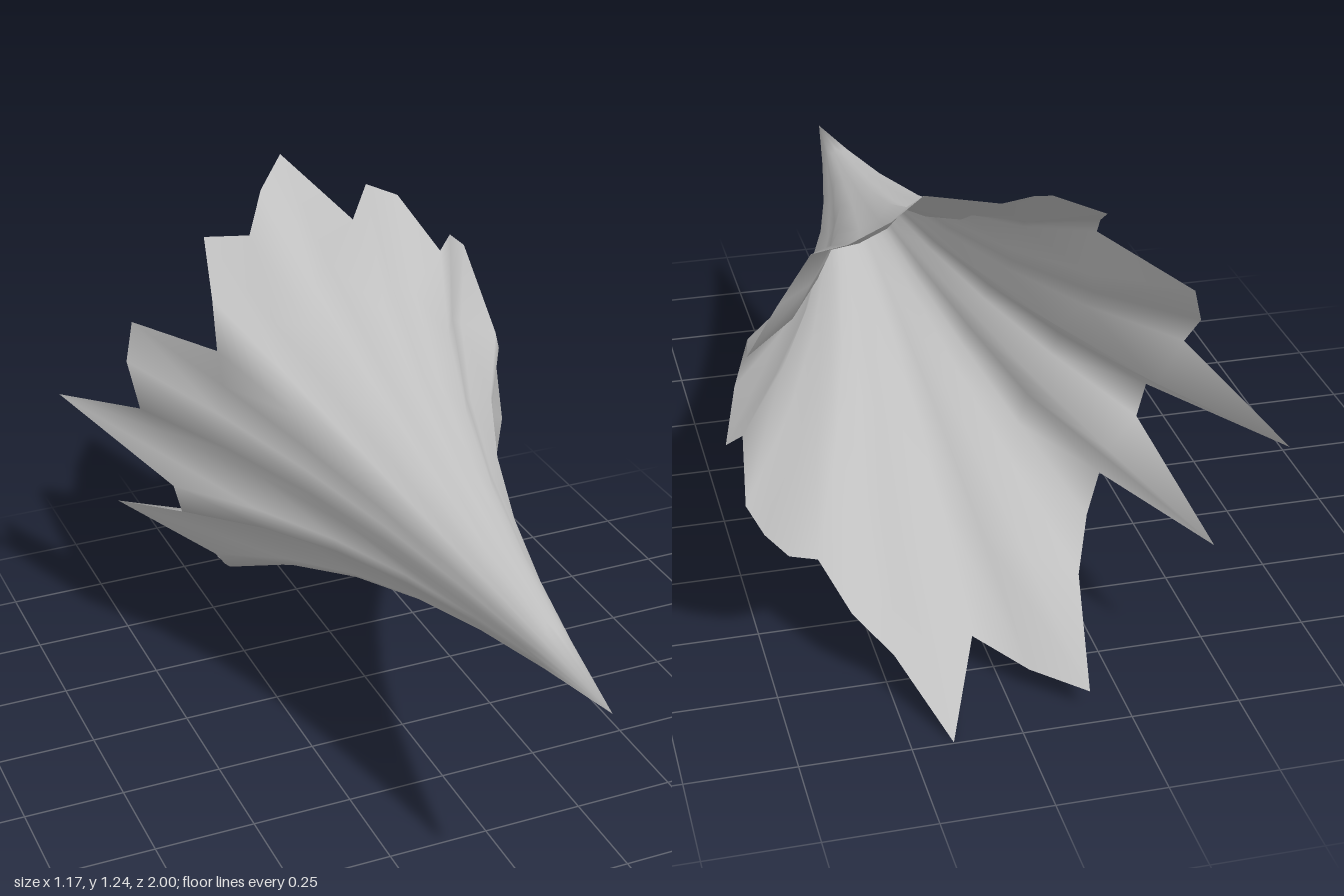
import * as THREE from 'three';

// Rim radius of each rib, clockwise from the top in 10 degree steps
const RIM = [
  0.61, 0.52, 0.572, 0.571, 0.514, 0.566, 0.589, 0.489, 0.509,
  0.538, 0.483, 0.527, 0.526, 0.522, 0.506, 0.542, 0.569, 0.638,
  0.552, 0.589, 0.622, 0.534, 0.497, 0.478, 0.596, 0.479, 0.478,
  0.63, 0.518, 0.546, 0.557, 0.462, 0.5, 0.556, 0.531, 0.573,
];
const RINGS = 6;
const APEX = new THREE.Vector3(0.045, 0.635, 1);
const LENGTH_PER_RADIUS = 3.13; // every rib flares alike, so length follows radius

// Thin fluted horn: ribs fan out from one apex and end in a jagged open rim
function flutedHorn() {
  const n = RIM.length;
  const positions = [APEX.x, APEX.y, APEX.z];
  const index = [];
  const id = (ring, rib) => 1 + (ring - 1) * n + (rib % n);

  for (let ring = 1; ring <= RINGS; ring++) {
    const t = ring / RINGS;
    const flare = 0.5 * t + 0.5 * t ** 3;
    for (let rib = 0; rib < n; rib++) {
      const a = (rib / n) * Math.PI * 2;
      const r = RIM[rib] * flare;
      positions.push(
        APEX.x + Math.sin(a) * r,
        APEX.y + Math.cos(a) * r,
        APEX.z - RIM[rib] * LENGTH_PER_RADIUS * t,
      );
    }
  }
  for (let rib = 0; rib < n; rib++) {
    index.push(0, id(1, rib + 1), id(1, rib));
    for (let ring = 1; ring < RINGS; ring++) {
      const a = id(ring, rib), b = id(ring, rib + 1);
      const c = id(ring + 1, rib), d = id(ring + 1, rib + 1);
      index.push(a, b, d, a, d, c);
    }
  }

  const geometry = new THREE.BufferGeometry();
  geometry.setAttribute('position', new THREE.Float32BufferAttribute(positions, 3));
  geometry.setIndex(index);
  geometry.computeVertexNormals();
  return geometry;
}

export function createModel() {
  const grey = new THREE.MeshStandardMaterial({ color: 0xc0c0c0, side: THREE.DoubleSide });
  grey.name = 'light grey';

  const group = new THREE.Group();
  group.name = 'flutedHornModel';
  const horn = new THREE.Mesh(flutedHorn(), grey);
  horn.name = 'flutedHorn';
  group.add(horn);
  return group;
}
